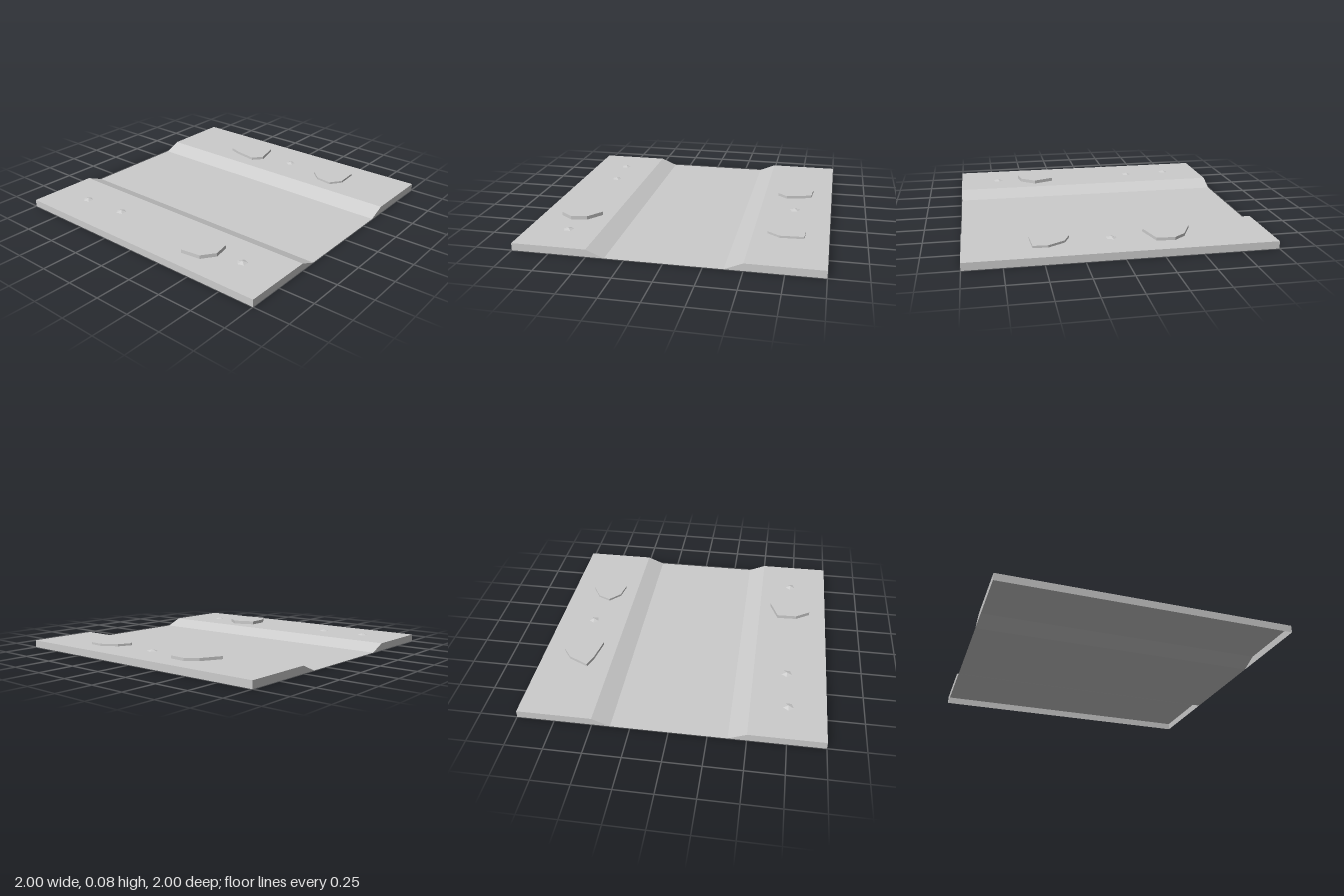
import * as THREE from 'three';

const stone = new THREE.MeshStandardMaterial({ color: 0xcccccc, side: THREE.DoubleSide, flatShading: true });
stone.name = 'pale grey stone';

// Flat four-cornered sheet, corners counter-clockwise seen from outside
function sheet(name, corners) {
  const g = new THREE.BufferGeometry();
  g.setAttribute('position', new THREE.Float32BufferAttribute(corners.flat(), 3));
  g.setIndex([0, 1, 2, 0, 2, 3]);
  g.computeVertexNormals();
  const m = new THREE.Mesh(g, stone);
  m.name = name;
  return m;
}

// Flat-topped rock from an [x, z] outline
function rock(outline, top) {
  const shape = new THREE.Shape(outline.map(([x, z]) => new THREE.Vector2(x, -z)));
  const g = new THREE.ExtrudeGeometry(shape, { depth: top - BANK, bevelEnabled: false });
  g.rotateX(-Math.PI / 2);
  const m = new THREE.Mesh(g, stone);
  m.name = 'flatRock';
  m.position.y = BANK;
  return m;
}

const BANK = 0.05;

export function createModel() {
  const group = new THREE.Group();
  group.name = 'riverbedTile';

  // Ground surface swept from front to back along its [x, y] profile
  const profile = [[-1, BANK], [-0.5, BANK], [-0.38, 0], [0.38, 0], [0.5, BANK], [1, BANK]];
  const names = ['rightBank', 'rightSlope', 'channelBed', 'leftSlope', 'leftBank'];
  names.forEach((name, i) => {
    const [x0, y0] = profile[i], [x1, y1] = profile[i + 1];
    group.add(sheet(name, [[x0, y0, 1], [x1, y1, 1], [x1, y1, -1], [x0, y0, -1]]));
  });

  // Outer skirts of both banks; the underside stays open
  for (const s of [-1, 1]) {
    group.add(sheet('sideSkirt', [[s, 0, s], [s, 0, -s], [s, BANK, -s], [s, BANK, s]]));
    for (const z of [-1, 1]) {
      const c = [[s, 0, z], [s, BANK, z], [s * 0.5, BANK, z], [s * 0.38, 0, z]];
      group.add(sheet('endSkirt', s * z > 0 ? c : c.reverse()));
    }
  }

  // Flat rocks
  group.add(
    rock([[-0.64, 0.265], [-0.58, 0.415], [-0.66, 0.52], [-0.77, 0.54], [-0.86, 0.475], [-0.88, 0.335], [-0.78, 0.27]], 0.075),
    rock([[0.66, -0.5], [0.8, -0.43], [0.86, -0.35], [0.85, -0.23], [0.67, -0.18], [0.6, -0.24], [0.63, -0.41]], 0.07),
    rock([[0.69, 0.31], [0.78, 0.35], [0.845, 0.46], [0.84, 0.56], [0.68, 0.57], [0.595, 0.51], [0.615, 0.39]], 0.065),
  );

  // Small five-sided pebbles
  for (const [x, z] of [[-0.75, -0.71], [-0.73, -0.38], [0.745, 0.045], [-0.725, 0.705]]) {
    const m = new THREE.Mesh(new THREE.ConeGeometry(0.037, 0.012, 5, 1, true), stone);
    m.name = 'pebble';
    m.position.set(x, BANK + 0.006, z);
    m.rotation.y = Math.PI;
    group.add(m);
  }
  return group;
}
